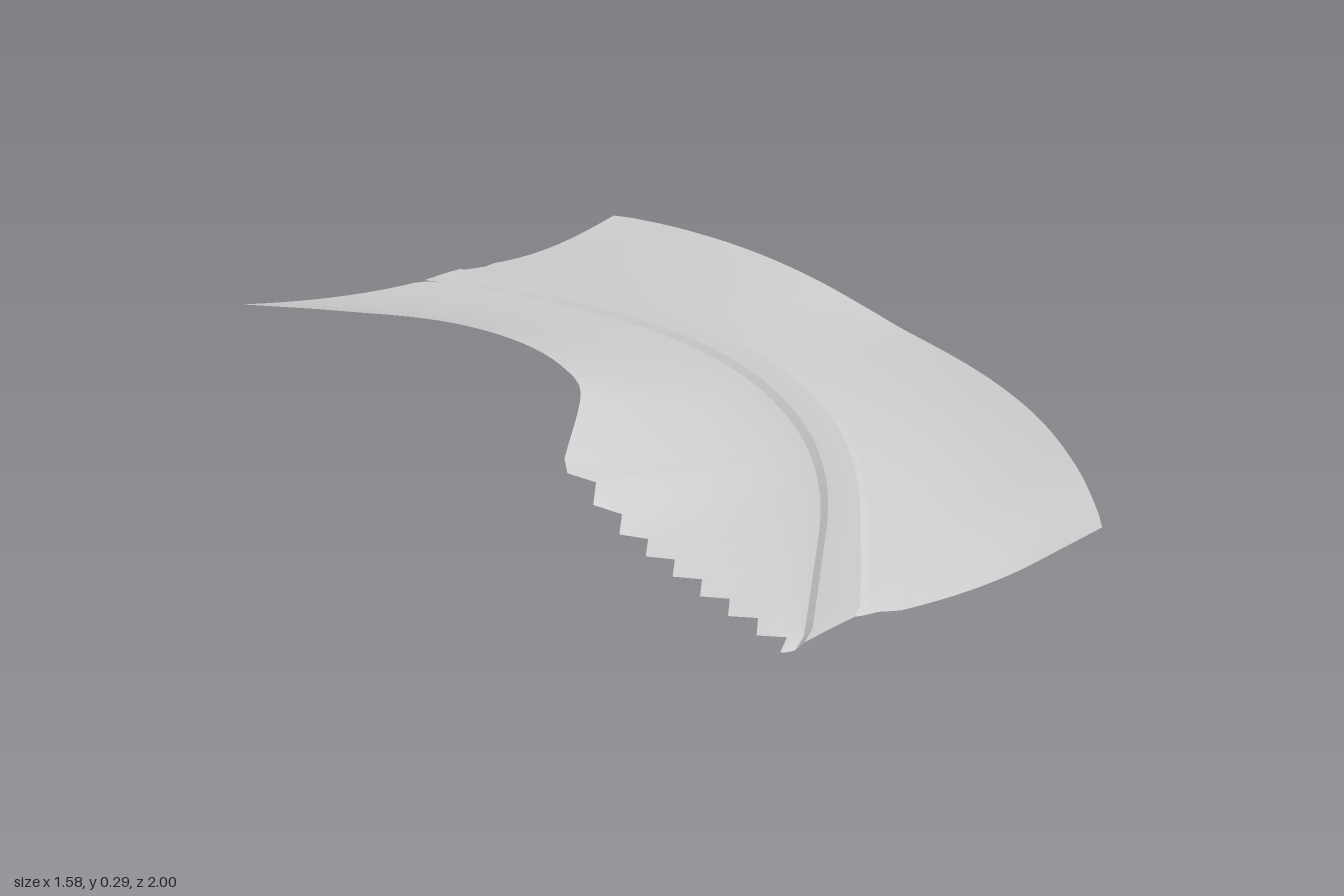
import * as THREE from 'three';

// Smooth curve through [position, value] pairs
function spline(pts) {
  const n = pts.length;
  const slope = (i) => {
    const a = pts[Math.max(i - 1, 0)], b = pts[Math.min(i + 1, n - 1)];
    return (b[1] - a[1]) / (b[0] - a[0]);
  };
  return (z) => {
    let i = 0;
    while (i < n - 2 && z > pts[i + 1][0]) i++;
    const [z0, v0] = pts[i], [z1, v1] = pts[i + 1];
    const h = z1 - z0, t = (z - z0) / h, t2 = t * t, t3 = t2 * t;
    return v0 * (2 * t3 - 3 * t2 + 1) + v1 * (3 * t2 - 2 * t3)
      + h * (slope(i) * (t3 - 2 * t2 + t) + slope(i + 1) * (t3 - t2));
  };
}

// Plan curves, all as functions of z
const innerX = spline([[-1, -0.69], [-0.7, -0.56], [-0.4, -0.43], [-0.2, -0.4], [0, -0.45], [0.1, -0.52], [0.34, -0.785]]);
const outerX = spline([[-1, 0.59], [-0.95, 0.625], [-0.8, 0.69], [-0.6, 0.75], [-0.4, 0.78], [-0.22, 0.79], [0, 0.77],
  [0.2, 0.725], [0.4, 0.655], [0.6, 0.56], [0.8, 0.43], [0.95, 0.31], [1, 0.26]]);
const roadL = spline([[-1, -0.085], [-0.8, 0.01], [-0.6, 0.09], [-0.4, 0.14], [-0.2, 0.155], [0, 0.13],
  [0.2, 0.06], [0.4, -0.055], [0.6, -0.23], [0.8, -0.47], [1, -0.72]]);
const roadR = spline([[-1, 0], [-0.8, 0.085], [-0.6, 0.165], [-0.4, 0.215], [-0.2, 0.23], [0, 0.21],
  [0.2, 0.145], [0.4, 0.035], [0.6, -0.13], [0.8, -0.345], [1, -0.57]]);

// Height curves
const innerY = spline([[-1, 0.26], [-0.75, 0.282], [-0.5, 0.295], [-0.2, 0.285], [0, 0.283], [0.3, 0.284],
  [0.36, 0.27], [0.42, 0.235], [0.5, 0.19], [0.6, 0.16], [0.8, 0.12], [1, 0.088]]);
const outerY = spline([[-1, 0.195], [-0.8, 0.175], [-0.6, 0.148], [-0.4, 0.115], [-0.2, 0.075], [0, 0.05],
  [0.5, 0.045], [0.8, 0.03], [1, 0]]);
const roadY = spline([[-1, 0.183], [-0.5, 0.16], [0, 0.135], [0.6, 0.105], [1, 0.083]]);

const ROWS = 50, SHOULDER = 0.025, DITCH = 0.007;

// Builds a strip of surface; section(z, row) returns one row of [x, y]
function strip(name, material, section) {
  const pos = [], index = [];
  let cols = 0;
  for (let r = 0; r <= ROWS; r++) {
    const z = -1 + (2 * r) / ROWS;
    const row = section(z, r);
    cols = row.length;
    for (const [x, y] of row) {
      // the ends are slightly trimmed where the road crosses them
      const cutFront = x < -0.48 ? 0.985 : 1;
      const cutBack = x > -0.11 && x < 0.1 ? -0.985 : -1;
      pos.push(x, Math.max(0, y), Math.min(cutFront, Math.max(cutBack, z)));
    }
  }
  for (let r = 0; r < ROWS; r++) {
    for (let c = 0; c < cols - 1; c++) {
      const a = r * cols + c, b = a + 1, d = a + cols, e = d + 1;
      index.push(a, d, b, b, d, e);
    }
  }
  const geo = new THREE.BufferGeometry();
  geo.setAttribute('position', new THREE.Float32BufferAttribute(pos, 3));
  geo.setIndex(index);
  geo.computeVertexNormals();
  const mesh = new THREE.Mesh(geo, material);
  mesh.name = name;
  return mesh;
}

export function createModel() {
  const group = new THREE.Group();
  group.name = 'curvedRoadTerrain';
  const ground = new THREE.MeshStandardMaterial({ color: 0xcccccc, side: THREE.DoubleSide });
  ground.name = 'light grey ground';

  // Raised bank inside the bend, with a saw-toothed edge near the front
  group.add(strip('innerBank', ground, (z, r) => {
    const toothed = z > 0.34;
    const x0 = toothed ? (r % 2 ? -0.745 : -0.79) : innerX(z);
    const x1 = roadL(z) - SHOULDER, y1 = roadY(z) - DITCH;
    const row = [];
    for (let i = 0; i <= 16; i++) {
      const t = i / 16;
      row.push([x0 + (x1 - x0) * t, y1 + (innerY(z) - y1) * Math.pow(1 - t, 1.6)]);
    }
    return row;
  }));

  // Sloping shoulders on both sides of the road
  group.add(strip('innerShoulder', ground, (z) => [
    [roadL(z) - SHOULDER, roadY(z) - DITCH], [roadL(z), roadY(z)]]));
  group.add(strip('outerShoulder', ground, (z) => [
    [roadR(z), roadY(z)], [roadR(z) + SHOULDER, roadY(z) - DITCH]]));

  // Flat road surface
  group.add(strip('road', ground, (z) => [
    [roadL(z), roadY(z)], [(roadL(z) + roadR(z)) / 2, roadY(z) + 0.001], [roadR(z), roadY(z)]]));

  // Gently sagging slope outside the bend
  group.add(strip('outerSlope', ground, (z) => {
    const x0 = roadR(z) + SHOULDER, y0 = roadY(z) - DITCH;
    const sag = 0.012 + 0.018 * z * z;
    const row = [];
    for (let i = 0; i <= 16; i++) {
      const t = i / 16;
      row.push([x0 + (outerX(z) - x0) * t, y0 + (outerY(z) - y0) * t - sag * Math.sin(Math.PI * t)]);
    }
    return row;
  }));

  return group;
}
